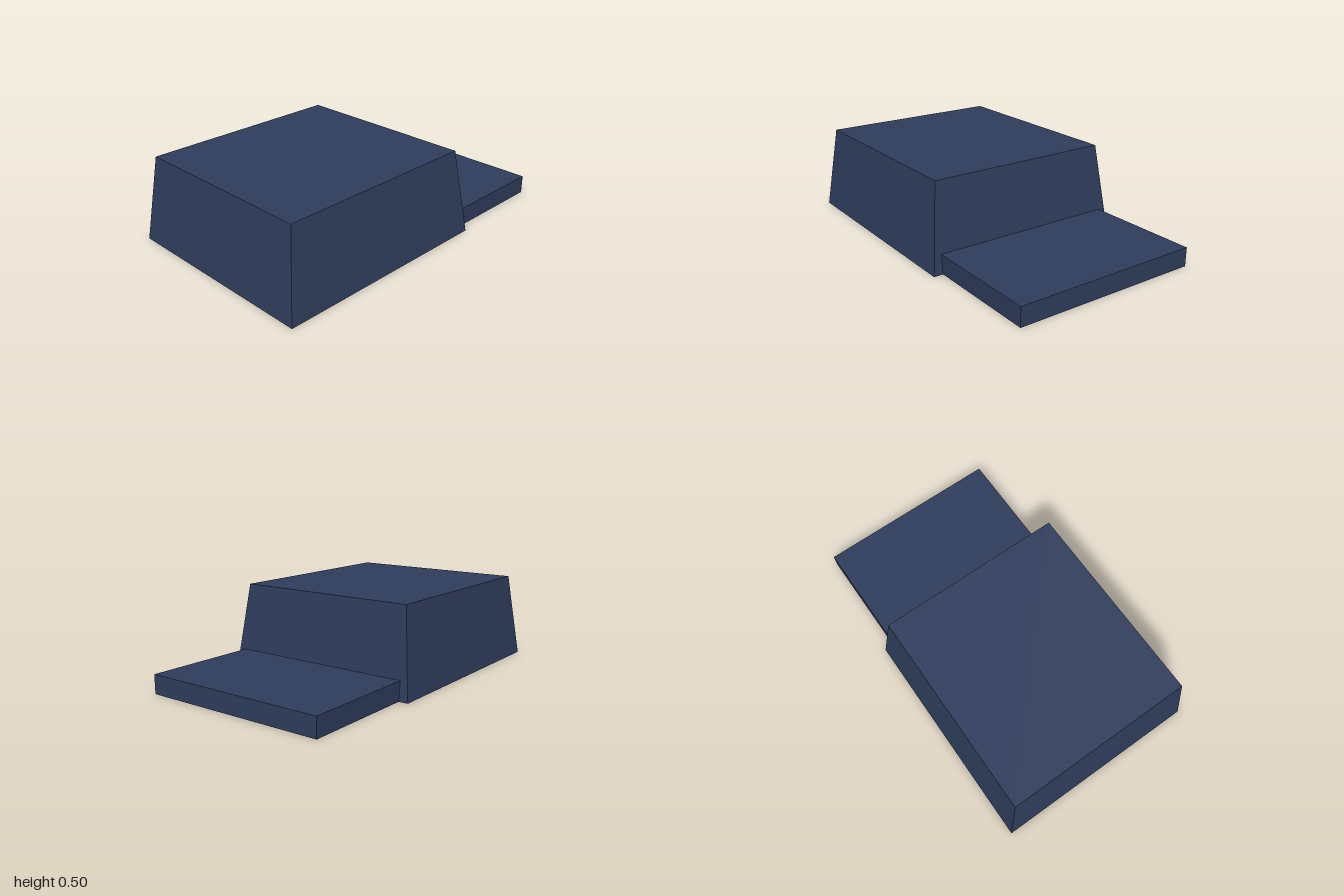
import * as THREE from 'three';

// Box whose top face is scaled in x and z about its own centre
function taperedBox(width, height, depth, topX, topZ) {
  const geometry = new THREE.BoxGeometry(width, height, depth);
  const p = geometry.attributes.position;
  for (let i = 0; i < p.count; i++) {
    if (p.getY(i) > 0) {
      p.setX(i, p.getX(i) * topX);
      p.setZ(i, p.getZ(i) * topZ);
    }
  }
  geometry.translate(0, height / 2, 0);
  geometry.computeVertexNormals();
  return geometry;
}

export function createModel() {
  const model = new THREE.Group();
  model.name = 'taperedBlockWithSlab';

  const navy = new THREE.MeshStandardMaterial({ color: 0x2f3d5d });
  navy.name = 'navy';

  // Main block with sloping sides
  const block = new THREE.Mesh(taperedBox(1.22, 0.5, 1.333, 0.902, 0.9), navy);
  block.name = 'taperedBlock';
  block.position.z = 0.3335;
  model.add(block);

  // Low slab reaching out at the back, its front edge sunk into the block
  const slabFront = -0.3;
  const slabDepth = 1 + slabFront;
  const slab = new THREE.Mesh(taperedBox(1.11, 0.11, slabDepth, 1, 1), navy);
  slab.name = 'rearSlab';
  slab.position.z = -1 + slabDepth / 2;
  model.add(slab);

  return model;
}
